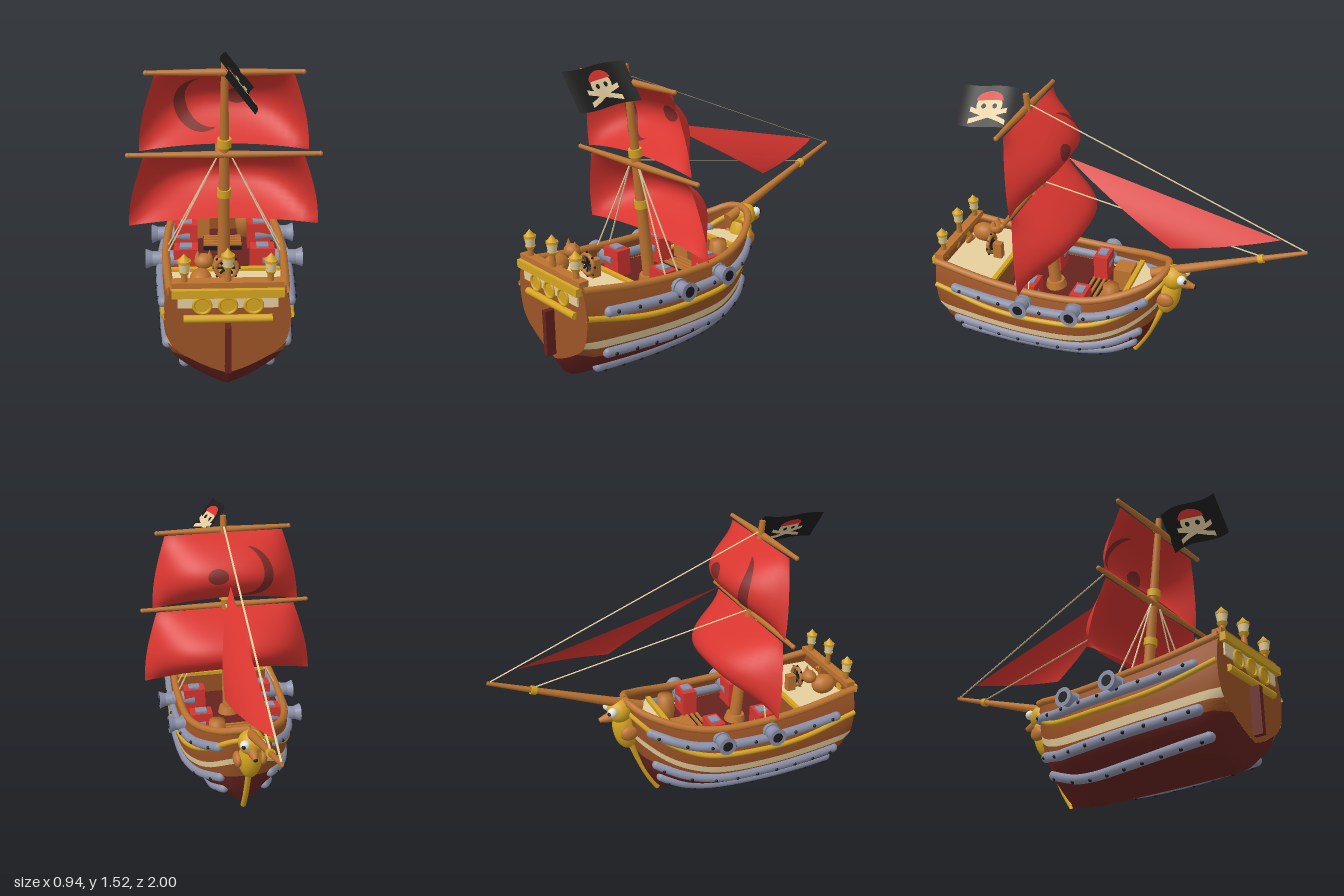
import * as THREE from 'three';

const V = (x, y, z) => new THREE.Vector3(x, y, z);
const lerp = THREE.MathUtils.lerp;
const mat = (name, color) => Object.assign(new THREE.MeshStandardMaterial({ color, side: THREE.DoubleSide }), { name });

// Smooth interpolation through a few [position, value] pairs
function curve(p) {
  const slope = i => {
    const a = p[Math.max(0, i - 1)], b = p[Math.min(p.length - 1, i + 1)];
    return (b[1] - a[1]) / (b[0] - a[0]);
  };
  return t => {
    t = Math.min(Math.max(t, p[0][0]), p[p.length - 1][0]);
    let i = 0;
    while (i < p.length - 2 && t > p[i + 1][0]) i++;
    const d = p[i + 1][0] - p[i][0], s = (t - p[i][0]) / d, s2 = s * s, s3 = s2 * s;
    return (2 * s3 - 3 * s2 + 1) * p[i][1] + (s3 - 2 * s2 + s) * d * slope(i) +
      (3 * s2 - 2 * s3) * p[i + 1][1] + (s3 - s2) * d * slope(i + 1);
  };
}

// Surface from a function of u, v in 0..1
function grid(fn, nu, nv) {
  const g = new THREE.PlaneGeometry(1, 1, nu, nv), a = g.attributes.position;
  for (let j = 0, k = 0; j <= nv; j++) for (let i = 0; i <= nu; i++, k++) {
    const q = fn(i / nu, j / nv);
    a.setXYZ(k, q.x, q.y, q.z);
  }
  g.computeVertexNormals();
  return g;
}

// Hull form: t runs from stern (0) to stem (1)
const sheer = curve([[0, .555], [.28, .507], [.6, .49], [.77, .51], [.94, .575], [1, .62]]);
const keel = curve([[0, .12], [.055, .02], [.12, 0], [.85, 0], [1, .02]]);
const stem = curve([[.02, -.1], [.1, -.15], [.2, -.2], [.35, -.245], [.5, -.275], [.63, -.29]]);
const beam = curve([[0, .92], [.25, 1], [.45, 1.03], [.7, .96], [.85, .75], [.93, .53], [.97, .37], [.99, .23], [1, 0]]);
const section = curve([[0, 0], [.05, .2], [.1, .37], [.2, .63], [.28, .8], [.4, .93], [.65, 1], [.85, .97], [1, .9]]);
const waterline = curve([[0, .21], [.5, .185], [.8, .2], [1, .3]]);
const creamLine = curve([[0, .28], [.28, .26], [.6, .25], [.77, .265], [.9, .32], [1, .42]]);
const goldLine = curve([[0, .425], [.28, .355], [.6, .345], [.77, .365], [.9, .44], [1, .56]]);
const gunLine = curve([[0, .44], [.35, .408], [.65, .405], [.8, .42], [.95, .48]]);

function hull(t, y, s) {
  const n = (y - keel(t)) / (sheer(t) - keel(t));
  return V(s * .31 * beam(t) * section(n), y, lerp(.95, stem(y), t));
}
function hullNormal(t, y, s) {
  const p = hull(t, y, s), e = .004;
  const n = hull(t + e, y, s).sub(p).cross(hull(t, y + e, s).sub(p)).normalize();
  return n.x * s < 0 ? n.negate() : n;
}
const mastZ = y => .37 + .11 * (y - .5);

export function createModel() {
  const M = {
    plank: mat('hull planks', 0x9c5426), wood: mat('light timber', 0xbd7430), maroon: mat('dark red timber', 0x66231f),
    gold: mat('gold', 0xd6a521), cream: mat('cream', 0xe6cf9f), steel: mat('steel', 0x8b90a8),
    red: mat('red cloth', 0xd9352f), black: mat('black', 0x1c1c1c), emblem: mat('dark emblem', 0x7c2a26), white: mat('white', 0xf4f1ea),
  };
  const root = new THREE.Group();
  const add = (name, geo, m, x = 0, y = 0, z = 0, parent = root) => {
    const o = new THREE.Mesh(geo, m);
    o.name = name; o.position.set(x, y, z); parent.add(o);
    return o;
  };
  const box = (name, m, w, h, d, x, y, z) => add(name, new THREE.BoxGeometry(w, h, d), m, x, y, z);
  const ball = (name, m, r, x, y, z, sx = 1, sy = 1, sz = 1) => {
    const o = add(name, new THREE.SphereGeometry(r, 16, 12), m, x, y, z);
    o.scale.set(sx, sy, sz);
    return o;
  };
  // Round bar between two points
  const bar = (name, m, a, b, ra, rb = ra, n = 12) => {
    const o = add(name, new THREE.CylinderGeometry(rb, ra, a.distanceTo(b), n), m);
    o.position.copy(a).lerp(b, .5);
    o.quaternion.setFromUnitVectors(V(0, 1, 0), b.clone().sub(a).normalize());
    return o;
  };
  const rope = (name, a, b, w, h) => {
    const o = add(name, new THREE.BoxGeometry(w, h, a.distanceTo(b)), M.cream);
    o.position.copy(a).lerp(b, .5); o.lookAt(b);
  };
  const tube = (name, m, pts, r, n = 8) =>
    add(name, new THREE.TubeGeometry(new THREE.CatmullRomCurve3(pts), 48, r, n), m);
  const alongHull = (line, s, t0, t1, n = 24) => Array.from({ length: n + 1 }, (_, i) => {
    const t = lerp(t0, t1, 1 - (1 - i / n) ** 1.5);
    return hull(t, line(t), s);
  });

  // Hull bands, rails and armour strips, mirrored
  const bands = [['lowerHull', keel, waterline, M.maroon, 10], ['midHull', waterline, t => creamLine(t) - .02, M.plank, 3],
    ['creamStripe', t => creamLine(t) - .02, t => creamLine(t) + .02, M.cream, 2], ['upperHull', t => creamLine(t) + .02, sheer, M.plank, 8]];
  for (const s of [-1, 1]) {
    for (const [name, lo, hi, m, rows] of bands)
      add(name, grid((u, v) => { const t = 1 - (1 - u) ** 1.6; return hull(t, lerp(lo(t), hi(t), v), s); }, 36, rows), m);
    tube('rail', M.wood, alongHull(t => sheer(t), s, 0, 1), .02);
    tube('goldMoulding', M.gold, alongHull(goldLine, s, 0, .995), .015);
    for (const [line, end] of [[gunLine, .94], [t => waterline(t) + .015 - .03 * t ** 6, .95], [t => waterline(t) - .085 - .02 * t, .95]]) {
      const pts = alongHull(line, s, .1, end);
      tube('armourStrip', M.steel, pts, .027, 10);
      for (const p of [pts[0], pts[24]]) ball('armourEnd', M.steel, .027, p.x, p.y, p.z);
      for (let i = 0; i < 9; i++) {
        const t = lerp(.13, end - .03, i / 8), p = hull(t, line(t), s).addScaledVector(hullNormal(t, line(t), s), .025);
        ball('rivet', M.black, .0095, p.x, p.y, p.z);
      }
    }
    // Cannons
    for (const [z, x] of [[.42, .39], [.14, .37]]) {
      const at = d => V(s * (x - d), .44, z);
      bar('cannonBarrel', M.steel, at(.2), at(.02), .045, .036, 16);
      bar('cannonMuzzle', M.steel, at(.035), at(0), .036, .05, 16);
      bar('cannonBand', M.steel, at(.09), at(.07), .046, .046, 16);
      bar('cannonBore', M.black, at(.01), at(-.001), .028, .028, 16);
      box('cannonCarriage', M.red, .12, .14, .08, s * .19, .435, z);
      box('cannonBreech', M.steel, .06, .02, .05, s * .19, .505, z);
    }
  }
  add('transom', grid((u, v) => { const p = hull(0, lerp(.121, .555, v), 1); return V(p.x * (2 * u - 1), p.y, p.z); }, 8, 16), M.plank);

  // Decks
  const deck = (name, m, y, t0, t1) => add(name, grid((u, v) => {
    const p = hull(lerp(t0, t1, v), y, 1);
    return V(p.x * (2 * u - 1) * .99, y, p.z);
  }, 2, 16), m);
  deck('mainDeck', M.maroon, .36, .2, .9);
  deck('quarterDeck', M.cream, .48, 0, .27);
  deck('foreDeck', M.cream, .47, .84, .99);
  box('aftBulkhead', M.plank, .54, .12, .01, 0, .42, .62);
  box('aftDeckEdge', M.gold, .52, .02, .025, 0, .485, .625);
  box('foreBulkhead', M.plank, .38, .12, .01, 0, .41, -.08);
  box('foreDeckEdge', M.gold, .4, .022, .025, 0, .485, -.085);
  box('hatch', M.black, .2, .02, .13, 0, .37, .12);
  for (let i = 0; i < 4; i++) box('hatchSlat', M.wood, .2, .012, .014, 0, .386, .075 + i * .03);
  box('crate', M.wood, .11, .13, .1, -.12, .425, -.01);
  add('barrel', new THREE.LatheGeometry([[0, 0], [.04, 0], [.052, .08], [.042, .165], [0, .165]].map(p => new THREE.Vector2(...p)), 16), M.wood, .125, .36, -.01);

  // Stern decoration and rudder
  box('sternRail', M.wood, .5, .03, .05, 0, .582, .935);
  box('sternBeam', M.gold, .5, .04, .03, 0, .55, .965);
  box('sternPanel', M.cream, .45, .06, .009, 0, .5, .955);
  bar('sternMoulding', M.gold, V(-.2, .415, .957), V(.2, .415, .957), .018);
  for (const x of [-.115, 0, .115]) {
    bar('windowGlass', M.gold, V(x, .485, .95), V(x, .485, .963), .038, .038, 20);
    add('windowFrame', new THREE.TorusGeometry(.039, .007, 8, 20), M.gold, x, .485, .963);
  }
  box('rudder', M.maroon, .028, .235, .05, 0, .268, .975);

  // Lanterns
  for (const [x, h] of [[-.193, 0], [0, .025], [.19, 0]]) {
    const L = new THREE.Group();
    L.name = 'lantern'; L.position.set(x, .58 + h, .935); root.add(L);
    add('lanternPost', new THREE.CylinderGeometry(.013, .018, .07 + h, 10), M.wood, 0, .02 - h / 2, 0, L);
    add('lanternBase', new THREE.CylinderGeometry(.026, .018, .016, 12), M.gold, 0, .058, 0, L);
    add('lanternGlass', new THREE.CylinderGeometry(.027, .021, .045, 12), M.cream, 0, .086, 0, L);
    add('lanternRim', new THREE.CylinderGeometry(.03, .03, .012, 12), M.gold, 0, .113, 0, L);
    add('lanternCap', new THREE.ConeGeometry(.027, .034, 12), M.gold, 0, .135, 0, L);
  }

  // Mast, yards, bowsprit and rigging
  const onMast = y => V(0, y, mastZ(y));
  bar('mast', M.wood, onMast(.36), onMast(1.5), .034, .016, 14);
  bar('mastFoot', M.wood, onMast(.36), onMast(.4), .06, .05, 14);
  for (const y of [.79, 1.06]) {
    bar('mastBand', M.gold, onMast(y - .02), onMast(y + .02), .036, .034, 14);
  }
  for (const [y, z, w, r] of [[1, .435, .46, .018], [1.42, .483, .36, .019]])
    for (const s of [-1, 1]) {
      bar('yard', M.wood, V(0, y, z), V(s * w, y, z), r, .011);
      ball('yardEnd', M.wood, .0125, s * w, y, z);
    }
  bar('bowsprit', M.wood, V(0, .565, -.2), V(0, .86, -.995), .029, .01);
  bar('bowspritBand', M.gold, V(0, .771, -.757), V(0, .781, -.783), .023, .023);
  rope('upperStay', V(0, 1.45, .475), V(0, .865, -.98), .01, .002);
  rope('lowerStay', V(0, 1.02, .43), V(0, .79, -.77), .01, .002);
  for (const s of [-1, 1]) for (const z of [.48, .4]) rope('shroud', V(s * .28, .5, z), V(s * .03, 1, .44), .006, .006);

  // Square sails
  const sail = (yt, yb, zt, zb, wt, wb, depth) => (u, v) => {
    const a = 2 * u - 1;
    return V(a * lerp(wt, wb, Math.sin(v * Math.PI / 2)), lerp(yt, yb, v) + .035 * (1 - a * a) * v,
      lerp(zt, zb, v) - depth * Math.sin(Math.PI * v) ** .9 * (1 - Math.abs(a) ** 3));
  };
  const top = sail(1.41, 1.015, .465, .42, .32, .405, .195);
  add('upperSail', grid(top, 24, 18), M.red);
  add('lowerSail', grid(sail(.99, .6, .42, .37, .385, .47, .235), 24, 18), M.red);

  // Painted shapes laid on both faces of a cloth
  const decal = (name, m, cloth, shape, off, layer = 1) => {
    for (const s of [-1, 1])
      add(name, grid((u, v) => cloth(...shape(u, v)).addScaledVector(off, s * layer), 28, 4), m);
  };
  const onSail = (x, y) => {
    const v = (1.41 - y) / .37;
    return [.5 + x / (2 * lerp(.32, .405, Math.sin(v * Math.PI / 2))), v];
  };
  const ellipse = (cx, cy, rx, ry, a0 = 0, a1 = Math.PI * 2) => (u, v) => {
    const a = lerp(a0, a1, u);
    return [cx + rx * v * Math.cos(a), cy + ry * v * Math.sin(a)];
  };
  decal('sailCrescent', M.emblem, top, (u, v) => {
    const a = lerp(1.65, 5.2, u), r = .14 - .058 * v * Math.sin(Math.PI * u);
    return onSail(-.1 + r * Math.cos(a), 1.22 + r * Math.sin(a));
  }, V(0, 0, .005));
  const spot = ellipse(.065, 1.235, .055, .042);
  decal('sailSpot', M.emblem, top, (u, v) => onSail(...spot(u, v)), V(0, 0, .005));

  // Jib
  const A = V(0, 1.18, .26), T = V(0, .905, -.86), C = V(.135, .83, -.33);
  add('jib', grid((u, v) => {
    const p = A.clone().lerp(T, u).lerp(C, v);
    p.x += .1 * v * (1 - v);
    return p;
  }, 16, 12), M.red);

  // Flag
  const flag = (u, v) => V(.13 * v - .02 * u + .02 * Math.sin(u * 6 + 3), 1.52 - .17 * v - .015 * u, .49 + .34 * u);
  const off = V(.0025, .0019, 0);
  add('flag', grid(flag, 24, 4), M.black);
  for (const d of [-1, 1])
    decal('flagBone', M.cream, flag, (u, v) => [lerp(.22, .78, u), .72 + d * (u - .5) * .3 + (v - .5) * .12], off);
  decal('flagSkull', M.cream, flag, ellipse(.5, .47, .19, .28), off, 1.6);
  decal('flagScarf', M.red, flag, ellipse(.5, .36, .2, .22, Math.PI, Math.PI * 2), off, 2.4);
  for (const d of [-1, 1]) decal('flagEye', M.black, flag, ellipse(.5 + d * .08, .5, .035, .06), off, 2.4);

  // Bird figurehead
  ball('figureheadHead', M.gold, .068, 0, .565, -.32);
  ball('figureheadBody', M.gold, .065, 0, .45, -.295, .95, 1.9, 1).rotation.x = -.18;
  tube('figureheadTail', M.gold, [V(0, .38, -.275), V(0, .25, -.225), V(0, .12, -.165), V(0, .03, -.11)], .016);
  bar('beak', M.wood, V(0, .535, -.37), V(0, .525, -.435), .03, .012);
  ball('beakTip', M.black, .012, 0, .525, -.432);
  for (const s of [-1, 1]) {
    ball('eye', M.white, .026, s * .042, .58, -.372);
    ball('pupil', M.black, .011, s * .052, .58, -.392);
    ball('wing', M.wood, .045, s * .065, .45, -.29, .55, .9, 1.1);
  }

  // Steering wheel
  box('wheelPost', M.wood, .04, .1, .05, 0, .52, .7);
  add('wheelRim', new THREE.TorusGeometry(.05, .011, 8, 20), M.wood, 0, .555, .74);
  for (let i = 0; i < 4; i++) {
    const a = i * Math.PI / 4, c = Math.cos(a) * .065, d = Math.sin(a) * .065;
    bar('wheelSpoke', M.black, V(-c, .555 - d, .74), V(c, .555 + d, .74), .006, .006, 6);
  }

  // Cat resting on the quarterdeck
  ball('catBody', M.wood, .055, -.12, .545, .84, .95, 1, 1.25);
  ball('catHead', M.wood, .04, -.105, .6, .755, 1.1, .9, 1);
  for (const s of [-1, 1]) add('catEar', new THREE.ConeGeometry(.015, .035, 6), M.wood, -.105 + s * .027, .64, .755);
  tube('catTail', M.wood, [V(-.1, .51, .9), V(-.04, .51, .91), V(-.02, .55, .88), V(-.02, .58, .87)], .011);
  return root;
}
